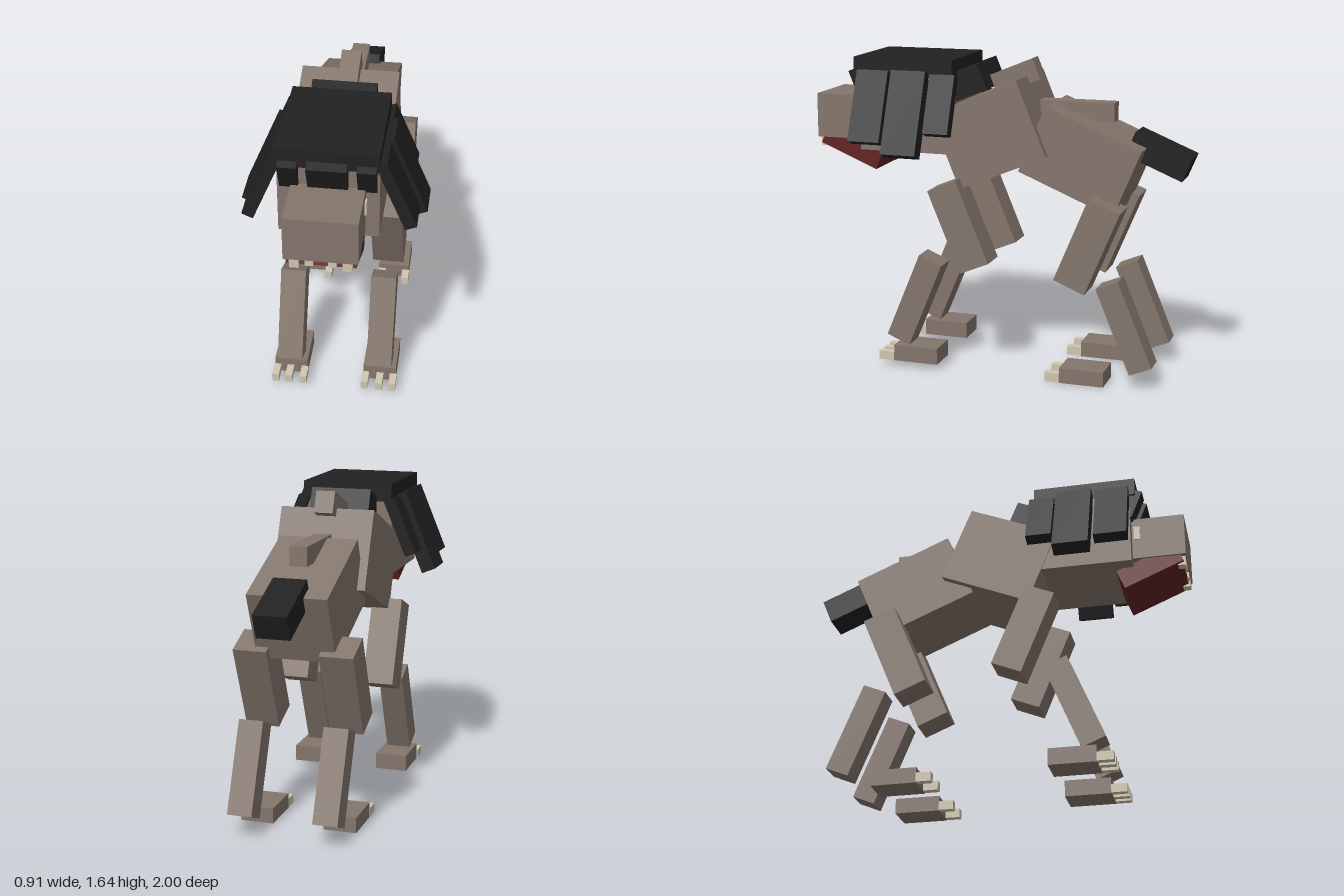
import * as THREE from 'three';

const flat = (name, color) => {
  const m = new THREE.MeshStandardMaterial({ color });
  m.name = name;
  return m;
};

export function createModel() {
  const skin = flat('skin', 0x83756b);
  const hair = flat('hair', 0x212121);
  const mouth = flat('mouth', 0x642222);
  const bone = flat('bone', 0xcfc6b0);
  const T = Math.PI / 8; // every tilted block leans by the same angle

  const model = new THREE.Group();
  model.name = 'maned beast';

  // box by size, centre and tilt about x and z
  function box(name, mat, [w, h, d], [x, y, z], rx = 0, rz = 0) {
    const mesh = new THREE.Mesh(new THREE.BoxGeometry(w, h, d), mat);
    mesh.name = name;
    mesh.position.set(x, y, z);
    mesh.rotation.set(rx, 0, rz);
    model.add(mesh);
  }
  // the same box on the left (+x) and right (-x)
  function pair(name, mat, size, [x, y, z], rx = 0, rz = 0) {
    box(name + 'Left', mat, size, [x, y, z], rx, rz);
    box(name + 'Right', mat, size, [-x, y, z], rx, -rz);
  }

  // body
  box('chest', skin, [0.495, 0.415, 0.498], [0, 1.26, 0.027], T);
  box('hips', skin, [0.41, 0.37, 0.539], [0, 1.145, -0.444], -T);
  box('hipRidge', skin, [0.09, 0.097, 0.391], [0, 1.377, -0.39]);
  box('shoulderRidge', skin, [0.1, 0.115, 0.248], [0, 1.538, -0.059], T);
  box('tail', hair, [0.172, 0.131, 0.317], [0, 1.171, -0.826], -T);

  // head
  box('head', skin, [0.485, 0.39, 0.5], [0, 1.345, 0.475]);
  box('muzzle', skin, [0.352, 0.232, 0.29], [0, 1.309, 0.855]);
  box('jaw', mouth, [0.33, 0.11, 0.335], [0, 1.147, 0.81], -T);
  pair('eye', bone, [0.009, 0.075, 0.033], [0.18, 1.339, 0.751]);
  pair('outerTooth', bone, [0.046, 0.055, 0.04], [0.125, 1.17, 0.975]);
  pair('innerTooth', bone, [0.04, 0.038, 0.04], [0.054, 1.178, 0.975]);

  // mane
  box('maneCap', hair, [0.485, 0.095, 0.54], [0, 1.588, 0.487]);
  box('maneBack', hair, [0.322, 0.146, 0.25], [0, 1.503, 0.2], T);
  box('centreFringe', hair, [0.19, 0.16, 0.06], [0, 1.498, 0.743], T);
  pair('sideFringe', hair, [0.09, 0.16, 0.06], [0.185, 1.495, 0.735], T);
  pair('frontLock', hair, [0.06, 0.38, 0.172], [0.319, 1.388, 0.639], 0, T);
  pair('middleLock', hair, [0.078, 0.441, 0.187], [0.335, 1.362, 0.438], 0, T);
  pair('rearLock', hair, [0.06, 0.31, 0.134], [0.296, 1.41, 0.262], 0, T);

  // front legs
  pair('frontUpperLeg', skin, [0.162, 0.46, 0.165], [0.236, 0.786, 0.166], T);
  pair('frontLowerLeg', skin, [0.13, 0.485, 0.132], [0.235, 0.369, 0.418], -T);
  pair('frontFoot', skin, [0.172, 0.086, 0.241], [0.236, 0.076, 0.406]);
  for (const dx of [-0.076, 0, 0.07])
    pair('frontClaw', bone, [0.036, 0.046, 0.084], [0.239 + dx, 0.058, 0.568]);

  // rear legs
  pair('rearUpperLeg', skin, [0.174, 0.467, 0.175], [0.222, 0.732, -0.514], -T);
  pair('rearLowerLeg', skin, [0.128, 0.475, 0.125], [0.221, 0.316, -0.708], T);
  pair('rearFoot', skin, [0.172, 0.08, 0.234], [0.22, 0.041, -0.495]);
  for (const dx of [-0.068, 0.068])
    pair('rearClaw', bone, [0.04, 0.048, 0.077], [0.222 + dx, 0.028, -0.34]);

  return model;
}
